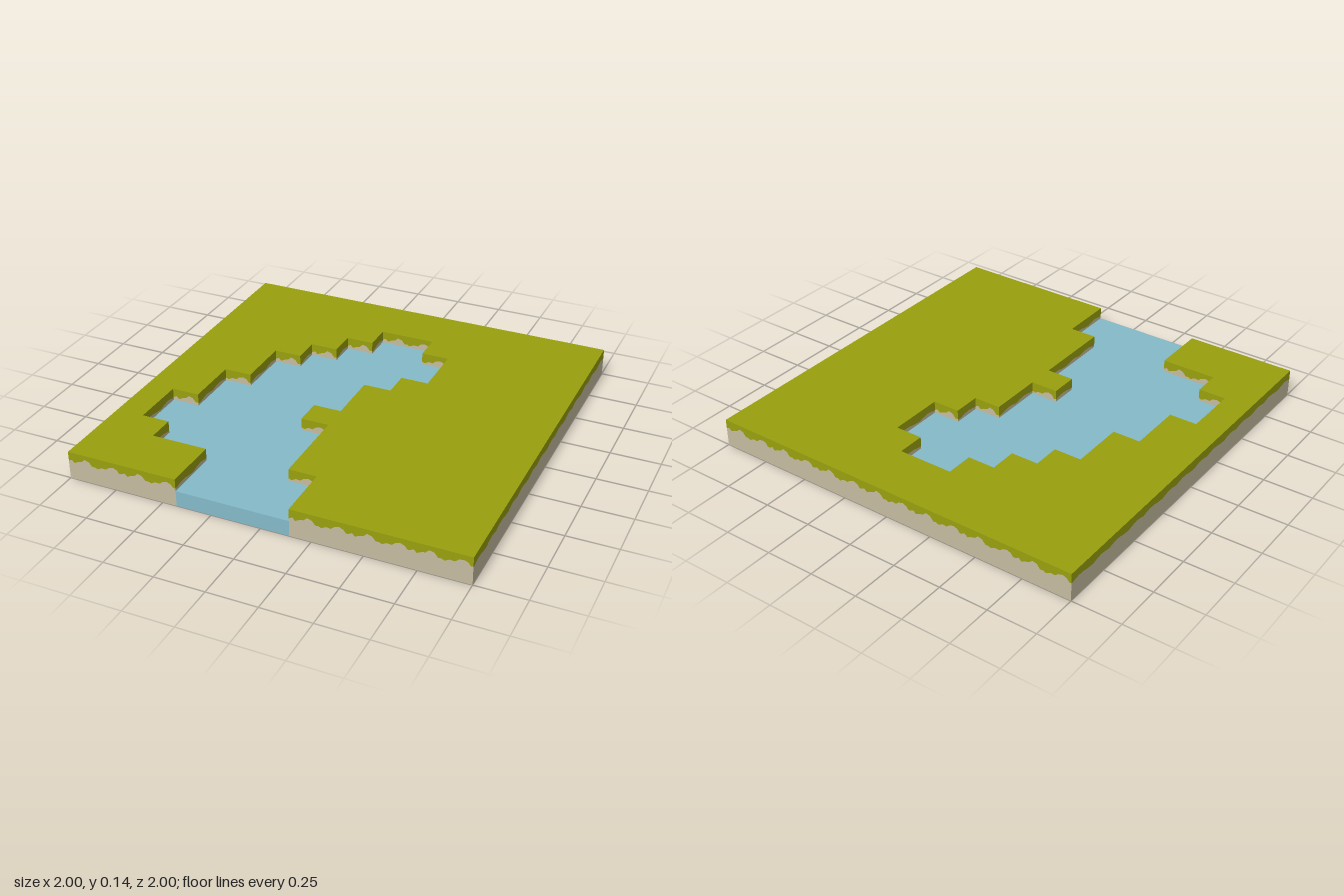
import * as THREE from 'three';
import { mergeGeometries } from 'three/addons/utils/BufferGeometryUtils.js';

const CELLS = 14, CELL = 2 / CELLS;
const TOP = 0.143, WATER = 0.08;

// Pond span [first, last) in cells for each grid row, from row 2 to the front edge
const FIRST_ROW = 2;
const SPANS = [[6, 8], [5, 9], [4, 9], [3, 8], [3, 7], [2, 7], [2, 6], [1, 7], [1, 7], [2, 7], [4, 8], [4, 8]];

// Ragged turf edge across one cell: [fraction, height]
const BUMPY = [
  [[0, 0.095], [0.12, 0.104], [0.22, 0.09], [0.36, 0.1], [0.5, 0.105], [0.62, 0.121], [0.78, 0.114], [0.9, 0.093], [1, 0.095]],
  [[0, 0.095], [0.1, 0.088], [0.26, 0.1], [0.42, 0.098], [0.54, 0.112], [0.7, 0.118], [0.84, 0.11], [0.92, 0.094], [1, 0.095]],
];
const GENTLE = [
  [[0, 0.092], [0.2, 0.098], [0.4, 0.102], [0.65, 0.1], [0.85, 0.094], [1, 0.092]],
  [[0, 0.092], [0.15, 0.09], [0.35, 0.097], [0.6, 0.102], [0.8, 0.098], [1, 0.092]],
];

const toWorld = ([c, r]) => [c * CELL - 1, r * CELL - 1];

// Horizontal face from [x, z] points, looking up or down
function flat(points, y, up) {
  const s = up ? -1 : 1;
  const shape = new THREE.Shape(points.map(([x, z]) => new THREE.Vector2(x, s * z)));
  return new THREE.ShapeGeometry(shape).rotateX(s * Math.PI / 2).translate(0, y, 0);
}

// Wall panel of one cell between the base and the ragged edge, or above it
function panel(profile, edgeY) {
  const line = profile.map(([f, y]) => new THREE.Vector2(f * CELL, y));
  const shape = new THREE.Shape([...line, new THREE.Vector2(CELL, edgeY), new THREE.Vector2(0, edgeY)]);
  return new THREE.ShapeGeometry(shape);
}

export function createModel() {
  const grass = new THREE.MeshStandardMaterial({ name: 'grass green', color: 0x98a00d });
  const stone = new THREE.MeshStandardMaterial({ name: 'sandy stone', color: 0xc5bb9f });
  const blue = new THREE.MeshStandardMaterial({ name: 'water blue', color: 0x84bac9 });

  // Shoreline in grid cells: up the left bank, then down the right bank
  const left = [], right = [];
  SPANS.forEach(([a, b], i) => {
    const r = FIRST_ROW + i;
    left.unshift([a, r + 1], [a, r]);
    right.push([b, r], [b, r + 1]);
  });
  const shore = [...left, ...right];
  const land = [[0, CELLS], ...shore, [CELLS, CELLS], [CELLS, 0], [0, 0]];
  const distinct = (pts) => pts.filter((p, i) => i === 0 || p[0] !== pts[i - 1][0] || p[1] !== pts[i - 1][1]);
  const landPoints = distinct(land).map(toWorld);
  const pondPoints = distinct(shore).map(toWorld);

  // Walls around the land, one panel pair per cell
  const turf = [], earth = [];
  land.forEach((p, i) => {
    const q = land[(i + 1) % land.length];
    const dx = Math.sign(q[0] - p[0]), dz = Math.sign(q[1] - p[1]);
    const count = Math.abs(q[0] - p[0]) + Math.abs(q[1] - p[1]);
    const outer = [0, 1].some((k) => p[k] === q[k] && (p[k] === 0 || p[k] === CELLS));
    const styles = dx !== 0 ? BUMPY : GENTLE;
    for (let n = 0; n < count; n++) {
      const c = p[0] + dx * n, r = p[1] + dz * n;
      const [x, z] = toWorld([c, r]);
      const profile = styles[(c + r) % 2];
      const place = (g) => g.rotateY(Math.atan2(-dz, dx)).translate(x, 0, z);
      turf.push(place(panel(profile, TOP)));
      earth.push(place(panel(profile, outer ? 0 : WATER)));
    }
  });

  // Front face of the water where the pond meets the edge
  const [x0] = pondPoints[0], [x1] = pondPoints[pondPoints.length - 1];
  const waterFront = new THREE.PlaneGeometry(x1 - x0, WATER).translate((x0 + x1) / 2, WATER / 2, 1);

  const model = new THREE.Group();
  model.name = 'pondTile';
  const add = (name, geometries, material) => {
    const mesh = new THREE.Mesh(mergeGeometries(geometries), material);
    mesh.name = name;
    model.add(mesh);
  };
  add('grassTop', [flat(landPoints, TOP, true)], grass);
  add('grassFringe', turf, grass);
  add('stoneWalls', earth, stone);
  add('stoneBase', [flat(landPoints, 0, false)], stone);
  add('pondWater', [flat(pondPoints, WATER, true), flat(pondPoints, 0, false), waterFront], blue);
  return model;
}
